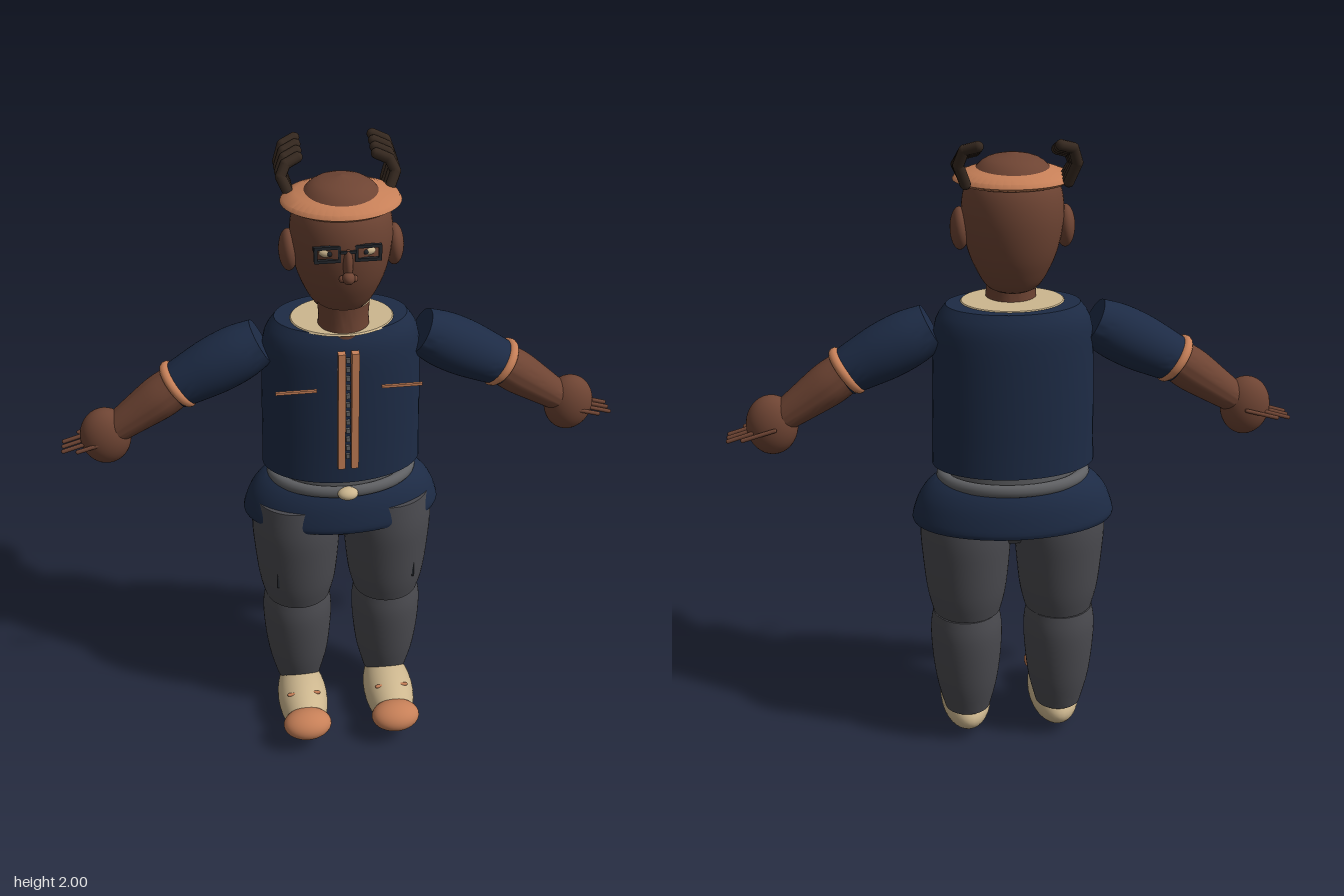
import * as THREE from 'three';
import { toCreasedNormals } from 'three/addons/utils/BufferGeometryUtils.js';

const mat = (name, color) => {
  const m = new THREE.MeshStandardMaterial({ color });
  m.name = name;
  return m;
};
const V = (x, y, z) => new THREE.Vector3(x, y, z);

export function createModel() {
  const root = new THREE.Group();
  root.name = 'figure';
  const navy = mat('navy cloth', 0x1d2b45);
  const skin = mat('brown skin', 0x6e4433);
  const peach = mat('peach trim', 0xc78058);
  const cream = mat('cream', 0xcdb78f);
  const grey = mat('trouser grey', 0x4a4a4f);
  const belt = mat('belt grey', 0x5f6063);
  const hair = mat('dark hair', 0x35281f);
  const black = mat('black', 0x23272c);

  const add = (name, geo, material, x = 0, y = 0, z = 0) => {
    const m = new THREE.Mesh(geo, material);
    m.name = name;
    m.position.set(x, y, z);
    root.add(m);
    return m;
  };
  const ball = (name, material, c, r) => {
    const m = add(name, new THREE.SphereGeometry(1, 32, 20), material, ...c);
    m.scale.set(...r);
    return m;
  };
  const box = (name, material, c, s) => add(name, new THREE.BoxGeometry(...s), material, ...c);
  // Turned shape from [radius, height] pairs, squashed front to back
  const turned = (name, material, pts, x, z, depth = 1) => {
    const geo = new THREE.LatheGeometry(pts.map(p => new THREE.Vector2(...p)), 48);
    geo.scale(1, 1, depth);
    return add(name, toCreasedNormals(geo, 0.7), material, x, 0, z);
  };
  // Barrel with flat ends: smooth side through a few points
  const barrel = pts => {
    const curve = new THREE.SplineCurve(pts.map(p => new THREE.Vector2(...p)));
    const side = curve.getPoints(14).map(p => [p.x, p.y]);
    return [[0, pts[0][1]], ...side, [0, pts[pts.length - 1][1]]];
  };
  // Turn a mesh built along +y so it starts at a and points to b
  const aim = (m, a, b) => {
    m.position.copy(a);
    m.quaternion.setFromUnitVectors(V(0, 1, 0), b.clone().sub(a).normalize());
    return m;
  };
  const rod = (name, material, a, b, r) => {
    const len = a.distanceTo(b);
    const geo = new THREE.CapsuleGeometry(r, len, 5, 10);
    geo.translate(0, len / 2, 0);
    return aim(add(name, geo, material), a, b);
  };

  // Torso, collar, neck
  turned('torso', navy, barrel([[0.248, 1.0], [0.245, 1.1], [0.241, 1.3], [0.232, 1.44], [0.198, 1.5]]), 0, -0.07, 0.65);
  turned('collar', cream, [[0.155, 1.498], [0.15, 1.503], [0, 1.503]], 0, -0.05, 0.8);
  turned('neck', skin, [[0.077, 1.48], [0.073, 1.53], [0.077, 1.58]], 0, -0.01);

  // Jacket front: zip and pocket seams
  for (const s of [-1, 1]) {
    const strip = box('zipStrip', peach, [s * 0.02, 1.26, 0.098], [0.022, 0.4, 0.022]);
    strip.rotation.x = 0.02;
    box('pocketSeam', peach, [s * 0.155, 1.35, 0.118], [0.12, 0.008, 0.008]);
  }
  for (let i = 0; i < 12; i++) box('zipTooth', belt, [0, 1.1 + i * 0.03, 0.094], [0.012, 0.015, 0.009]);

  // Waist, belt, hem
  turned('waist', belt, [[0.2, 0.93], [0.2, 1.005]], 0, -0.07, 0.7);
  const ring = new THREE.TorusGeometry(0.215, 0.02, 14, 56);
  ring.rotateX(Math.PI / 2);
  ring.scale(1, 1, 0.69);
  add('belt', ring, belt, 0, 0.957, -0.07);
  ball('buckle', cream, [0, 0.96, 0.093], [0.032, 0.02, 0.024]);
  turned('jacketHem', navy, barrel([[0.308, 0.81], [0.312, 0.83], [0.292, 0.89], [0.265, 0.93], [0.235, 0.955]]), 0, -0.075, 0.57);
  turned('pelvis', grey, barrel([[0.065, 0.73], [0.1, 0.78], [0.13, 0.85]]), 0, -0.06, 0.9);

  // Head
  const egg = new THREE.SplineCurve([[0, 1.525], [0.07, 1.545], [0.112, 1.61], [0.136, 1.68], [0.147, 1.76],
    [0.14, 1.83], [0.115, 1.88], [0.075, 1.917], [0, 1.935]].map(p => new THREE.Vector2(...p)));
  const eggPts = egg.getPoints(32);
  eggPts.forEach(p => { p.x = Math.max(0, p.x); });
  add('head', new THREE.LatheGeometry(eggPts, 48), skin, 0, 0, -0.057);
  turned('hatBrim', peach, [[0.12, 1.85], [0.155, 1.852], [0.172, 1.862], [0.165, 1.874], [0.13, 1.887], [0.09, 1.897], [0.08, 1.89]], 0, -0.06, 0.88);

  // Nose
  ball('noseBridge', skin, [0, 1.73, 0.085], [0.014, 0.05, 0.02]);
  ball('noseTip', skin, [0, 1.695, 0.1], [0.018, 0.018, 0.02]);

  for (const s of [-1, 1]) {
    ball('ear', skin, [s * 0.152, 1.72, -0.055], [0.028, 0.062, 0.05]);
    ball('nostril', skin, [s * 0.017, 1.69, 0.093], [0.01, 0.01, 0.012]);

    // Eyes and spectacles
    ball('eye', cream, [s * 0.055, 1.762, 0.068], [0.024, 0.014, 0.014]);
    ball('pupil', black, [s * 0.05, 1.762, 0.079], [0.008, 0.008, 0.006]);
    for (const dy of [-1, 1]) box('frameBar', black, [s * 0.057, 1.763 + dy * 0.02, 0.085], [0.074, 0.009, 0.01]);
    for (const dx of [-1, 1]) box('frameSide', black, [s * (0.057 + dx * 0.033), 1.763, 0.085], [0.009, 0.046, 0.01]);
    box('templeArm', black, [s * 0.091, 1.772, 0.07], [0.008, 0.008, 0.035]);

    // Hair: four bent locks on each side, leaning back
    for (let i = 0; i < 4; i++) {
      const z = -0.092 - i * 0.027, h = i * 0.009;
      const p = [V(s * 0.143, 1.872, z), V(s * 0.163, 1.915 + h * 0.5, z - 0.02),
        V(s * 0.148, 1.945 + h, z - 0.035), V(s * 0.112, 1.957 + h, z - 0.052)];
      for (let k = 0; k < 3; k++) rod('hairLock', hair, p[k], p[k + 1], 0.0155);
    }

    // Arm
    const a = V(s * 0.24, 1.43, -0.058), b = V(s * 0.5, 1.295, -0.058), hand = V(s * 0.72, 1.14, -0.058);
    aim(turned('sleeve', navy, barrel([[0.07, 0], [0.084, 0.07], [0.086, 0.15], [0.078, 0.23], [0.069, 0.295]]), 0, 0), a, b);
    aim(turned('forearm', skin, barrel([[0.064, 0], [0.066, 0.06], [0.056, 0.15], [0.046, 0.23]]), 0, 0), b, hand);
    const cuff = new THREE.TorusGeometry(0.064, 0.016, 12, 36);
    cuff.rotateX(Math.PI / 2);
    aim(add('cuff', cuff, peach), V(s * 0.49, 1.302, -0.058), hand);
    ball('hand', skin, [s * 0.72, 1.14, -0.058], [0.077, 0.093, 0.058]);
    for (let i = -2; i <= 2; i++) {
      const outer = Math.abs(i) === 2, z = -0.065 + i * 0.028;
      rod('finger', skin, V(s * (outer ? 0.71 : 0.77), outer ? 1.145 : 1.13, z),
        V(s * (outer ? 0.805 : 0.85), outer ? 1.118 : 1.106, z), 0.0065);
    }

    // Leg
    turned('thigh', grey, barrel([[0.108, 0.485], [0.125, 0.56], [0.137, 0.68], [0.142, 0.78], [0.132, 0.88]]), s * 0.147, -0.06, 1.04);
    turned('shin', grey, barrel([[0.074, 0.12], [0.098, 0.22], [0.111, 0.33], [0.114, 0.42], [0.105, 0.482]]), s * 0.15, -0.065, 1.02);
    box('thighSeam', black, [s * 0.22, 0.61, 0.05], [0.006, 0.06, 0.009]);

    // Shoe
    ball('shoe', cream, [s * 0.149, 0.084, 0.042], [0.084, 0.081, 0.178]);
    ball('toeCap', peach, [s * 0.149, 0.102, 0.195], [0.08, 0.049, 0.06]);
    rod('shoeStrap', peach, V(s * 0.1, 0.148, 0.1), V(s * 0.2, 0.148, 0.1), 0.006);
  }
  box('frameBridge', black, [0, 1.77, 0.09], [0.045, 0.008, 0.01]);
  return root;
}
